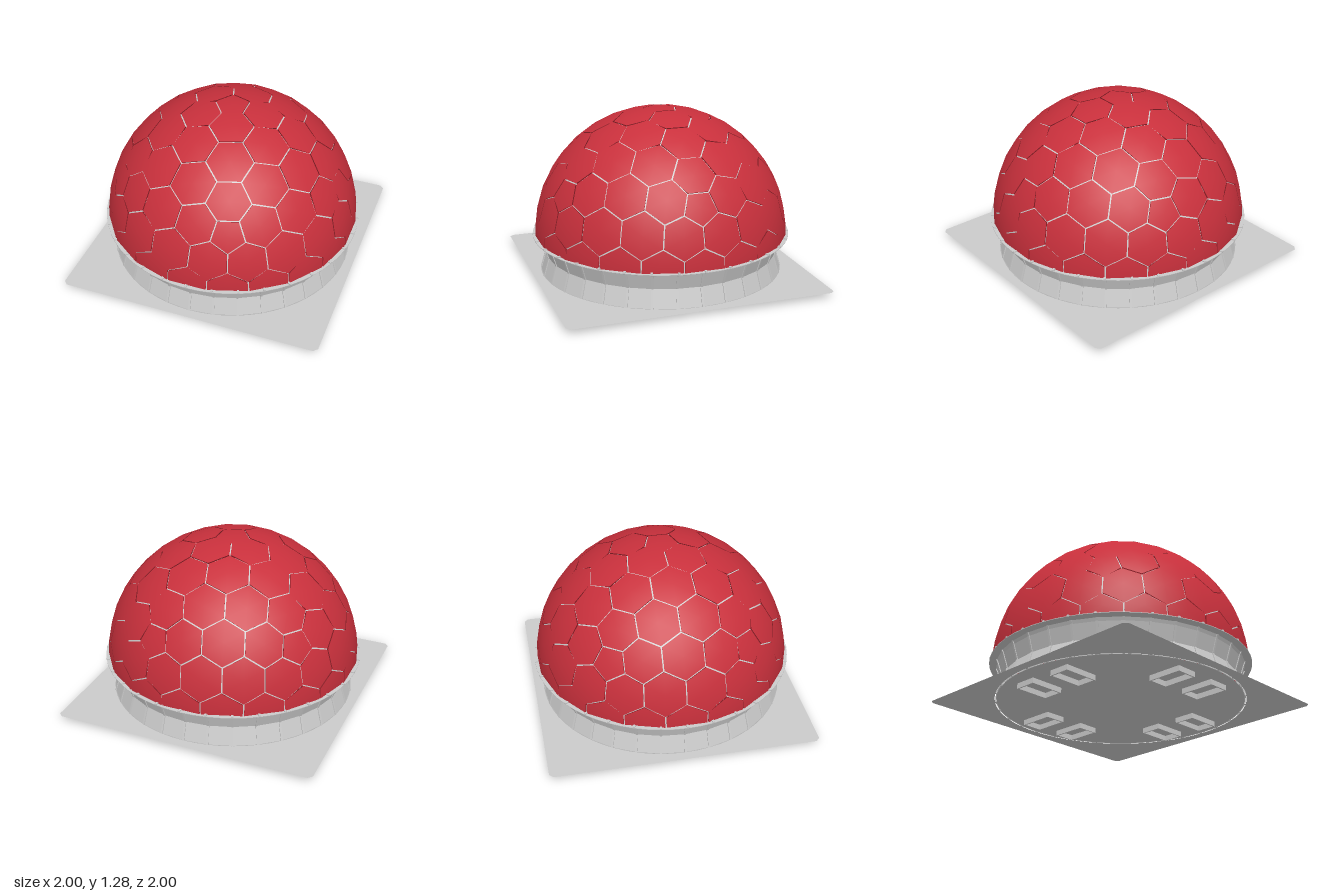
import * as THREE from 'three';
import { mergeGeometries, mergeVertices } from 'three/addons/utils/BufferGeometryUtils.js';

const R = 0.965, DOME_Y = 0.315, PLATE_Y = 0.04, SIDES = 32;
const grey = new THREE.MeshStandardMaterial({ color: 0xcccccc });
const greyFlat = new THREE.MeshStandardMaterial({ color: 0xcccccc, flatShading: true, side: THREE.DoubleSide });
const greyThin = new THREE.MeshStandardMaterial({ color: 0xcccccc, side: THREE.DoubleSide });
const red = new THREE.MeshStandardMaterial({ color: 0xc9303c, side: THREE.DoubleSide });

function addPart(group, name, geometry, material) {
  const mesh = new THREE.Mesh(geometry, material);
  mesh.name = name;
  group.add(mesh);
  return mesh;
}

// Outlines of the hexagonal and pentagonal cells: dual of a subdivided icosahedron
function domeCells() {
  let geo = new THREE.IcosahedronGeometry(1, 3);
  const t = (1 + Math.sqrt(5)) / 2;
  const up = new THREE.Vector3(0, 1, t).normalize();
  const next = new THREE.Vector3(0, -1, t).normalize();
  const side = next.addScaledVector(up, -next.dot(up)).normalize();
  const basis = new THREE.Matrix4().makeBasis(side, up, side.clone().cross(up));
  geo.applyMatrix4(basis.transpose());
  geo.deleteAttribute('normal');
  geo.deleteAttribute('uv');
  geo = mergeVertices(geo, 1e-3);
  const pos = geo.attributes.position, index = geo.index;
  const centres = [], corners = [];
  for (let i = 0; i < pos.count; i++) {
    centres.push(new THREE.Vector3().fromBufferAttribute(pos, i));
    corners.push([]);
  }
  for (let f = 0; f < index.count; f += 3) {
    const ids = [0, 1, 2].map(k => index.getX(f + k));
    const mid = new THREE.Vector3();
    ids.forEach(i => mid.add(centres[i]));
    mid.normalize();
    ids.forEach(i => corners[i].push(mid));
  }
  return centres.map((c, i) => {
    const u = new THREE.Vector3(0.31, 0.52, 0.79).cross(c).normalize();
    const v = c.clone().cross(u);
    const angle = p => Math.atan2(p.dot(v), p.dot(u));
    return corners[i].sort((a, b) => angle(a) - angle(b));
  });
}

// Cut a cell off at the foot of the dome
function clipAtFoot(cell) {
  const out = [];
  cell.forEach((a, i) => {
    const b = cell[(i + 1) % cell.length];
    if (a.y >= 0) out.push(a);
    if ((a.y >= 0) !== (b.y >= 0)) out.push(a.clone().lerp(b, a.y / (a.y - b.y)).normalize());
  });
  return out;
}

// All panels as fans on the sphere, with a thin rim down into the gaps
function panelGeometry() {
  const positions = [], normals = [];
  const put = (p, r) => {
    positions.push(p.x * r, p.y * r, p.z * r);
    normals.push(p.x, p.y, p.z);
  };
  for (const cell of domeCells()) {
    const poly = clipAtFoot(cell);
    if (poly.length < 3) continue;
    const mid = new THREE.Vector3();
    poly.forEach(p => mid.add(p));
    mid.normalize();
    const ring = poly.map(p => {
      const d = mid.clone().sub(p);
      const q = p.clone().addScaledVector(d, Math.min(0.3, 0.006 / d.length()));
      if (p.y < 1e-4) q.y = 0;
      return q.normalize();
    });
    ring.forEach((a, i) => {
      const b = ring[(i + 1) % ring.length];
      [mid, a, b].forEach(p => put(p, R));
      put(a, R); put(a, R - 0.015); put(b, R);
      put(b, R); put(a, R - 0.015); put(b, R - 0.015);
    });
  }
  const geo = new THREE.BufferGeometry();
  geo.setAttribute('position', new THREE.Float32BufferAttribute(positions, 3));
  geo.setAttribute('normal', new THREE.Float32BufferAttribute(normals, 3));
  return geo;
}

// Square plate with clipped corners and a narrow circular slot
function plateGeometry() {
  const c = 0.97;
  const corners = [[1, -c], [1, c], [c, 1], [-c, 1], [-1, c], [-1, -c], [-c, -1], [c, -1]];
  const square = new THREE.Shape(corners.map(p => new THREE.Vector2(...p)));
  square.holes.push(new THREE.Path().absarc(0, 0, 0.93, 0, Math.PI * 2, true));
  const disc = new THREE.Shape().absarc(0, 0, 0.915, 0, Math.PI * 2, false);
  return new THREE.ShapeGeometry([square, disc], 32).rotateX(-Math.PI / 2);
}

// Open rectangular socket, long side along x
function socketGeometry() {
  const rect = (Type, w, h) => new Type([[-w, -h], [w, -h], [w, h], [-w, h]].map(p => new THREE.Vector2(...p)));
  const shape = rect(THREE.Shape, 0.135, 0.083);
  shape.holes.push(rect(THREE.Path, 0.125, 0.073));
  return new THREE.ExtrudeGeometry(shape, { depth: PLATE_Y, bevelEnabled: false }).rotateX(-Math.PI / 2);
}

export function createModel() {
  const model = new THREE.Group();
  model.name = 'panelledDome';

  // Dome
  const dome = new THREE.Group();
  dome.name = 'dome';
  dome.position.y = DOME_Y;
  model.add(dome);
  addPart(dome, 'domePanels', panelGeometry(), red);
  addPart(dome, 'domeShell', new THREE.SphereGeometry(R - 0.012, 80, 32, 0, Math.PI * 2, 0, Math.PI / 2), greyThin);

  // Waisted wall with a flat lip
  const profile = [[0.926, PLATE_Y], [0.886, 0.175], [0.921, 0.285], [0.932, 0.308]].map(p => new THREE.Vector2(...p));
  addPart(model, 'baseWall', new THREE.LatheGeometry(profile, SIDES), greyFlat);
  const lip = [[0.925, 0.308], [0.985, 0.314], [0.985, 0.318], [0.94, 0.318]].map(p => new THREE.Vector2(...p));
  addPart(model, 'baseLip', new THREE.LatheGeometry(lip, SIDES * 2), greyFlat);

  // Ribs on the wall corners and clips on the lip
  const ribShape = new THREE.Shape([
    ...profile.map(p => new THREE.Vector2(p.x + 0.006, p.y)),
    ...profile.map(p => new THREE.Vector2(p.x - 0.006, p.y)).reverse(),
  ]);
  const ribs = [], clips = [];
  for (let i = 0; i < SIDES; i++) {
    const angle = (i / SIDES) * Math.PI * 2;
    ribs.push(new THREE.ExtrudeGeometry(ribShape, { depth: 0.016, bevelEnabled: false })
      .translate(0, 0, -0.008).rotateY(angle));
    clips.push(new THREE.BoxGeometry(0.026, 0.012, 0.016).translate(0.972, 0.321, 0).rotateY(angle));
  }
  addPart(model, 'wallRibs', mergeGeometries(ribs), grey);
  addPart(model, 'lipClips', mergeGeometries(clips), grey);

  // Ground plate
  addPart(model, 'plate', plateGeometry(), greyThin).position.y = PLATE_Y;

  // Two sockets under each side of the plate
  const socket = socketGeometry();
  for (let side = 0; side < 4; side++) {
    const pair = new THREE.Group();
    pair.name = 'socketPair';
    pair.rotation.y = side * Math.PI / 2;
    for (const s of [-1, 1]) addPart(pair, 'socket', socket, grey).position.set(0.655, 0, s * 0.172);
    model.add(pair);
  }
  return model;
}
